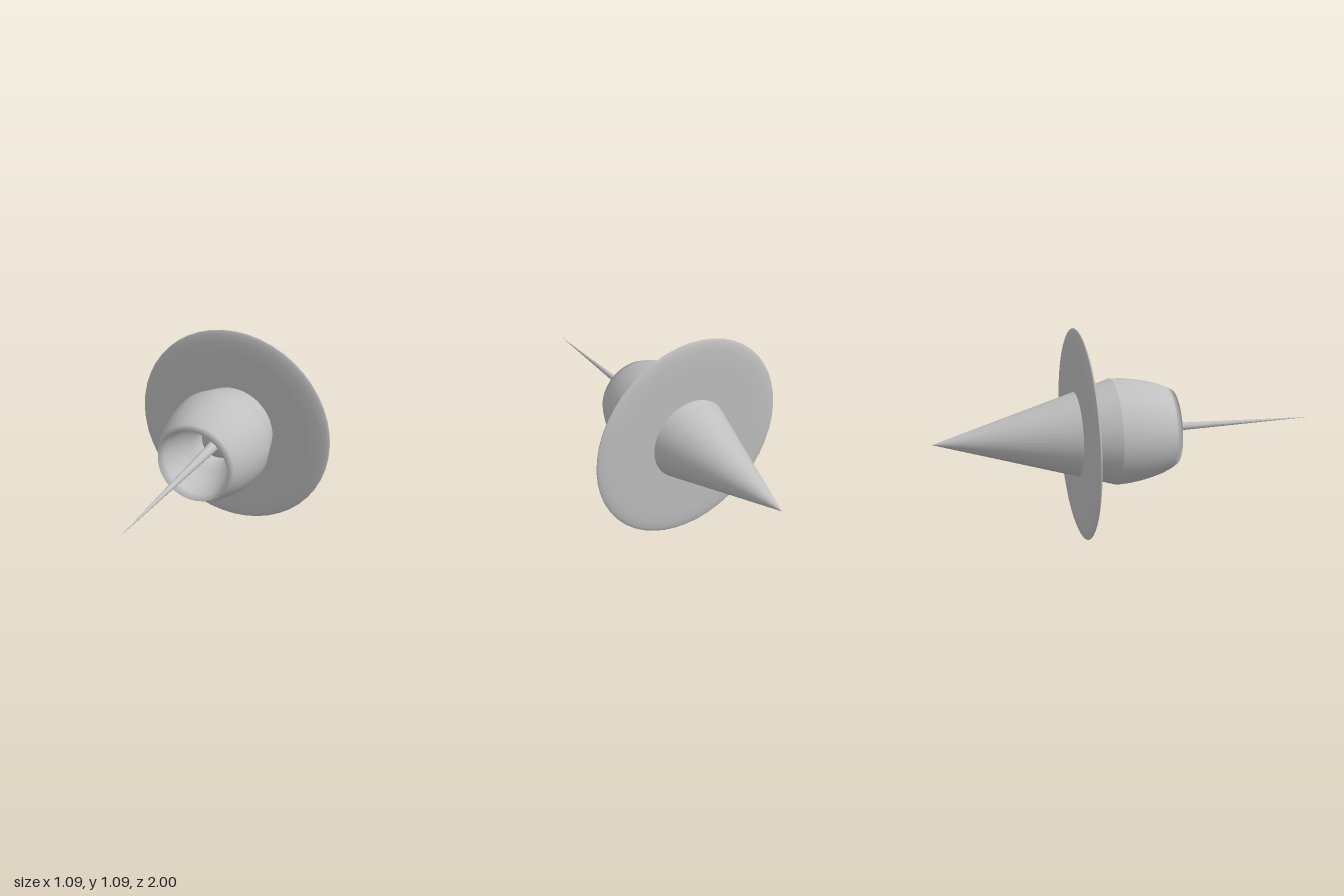
import * as THREE from 'three';

export function createModel() {
  const model = new THREE.Group();
  const grey = new THREE.MeshStandardMaterial({ color: 0xc0c0c0 });
  grey.name = 'grey';

  // Turn a [radius, z] profile around the long axis, listed from back to front on the outside
  function turned(name, profile, sides = 48) {
    const points = profile.map(([r, z]) => new THREE.Vector2(r, z));
    const geometry = new THREE.LatheGeometry(points, sides).rotateX(Math.PI / 2);
    const mesh = new THREE.Mesh(geometry, grey);
    mesh.name = name;
    mesh.position.y = 0.544;
    model.add(mesh);
  }

  // Long pointed tail
  turned('tailCone', [[0, -1], [0.275, -0.075]]);

  // Barrel shell rolling over the rim into a hollow bowl
  turned('barrel', [
    [0.275, -0.075], [0.272, -0.01], [0.264, 0.05], [0.252, 0.11],
    [0.235, 0.17], [0.215, 0.215], [0.196, 0.25],
    [0.186, 0.2], [0.174, 0.14], [0.156, 0.08], [0.134, 0.03], [0.105, -0.01], [0.105, -0.07],
  ]);

  // Plug joining the tail and the barrel behind the bowl
  turned('bowlFloor', [[0.275, -0.075], [0, -0.07]]);

  // Domed hub inside the bowl
  const dome = [];
  for (let i = 0; i <= 10; i++) {
    const a = (i / 10) * Math.PI / 2;
    dome.push([0.096 * Math.cos(a), -0.07 + 0.08 * Math.sin(a)]);
  }
  turned('hub', dome);

  // Needle running out of the hub
  turned('needle', [[0.03, -0.06], [0, 1]], 20);

  // Thin round-edged disc
  turned('disc', [
    [0, -0.267], [0.42, -0.267], [0.49, -0.264], [0.525, -0.259], [0.54, -0.253],
    [0.544, -0.25],
    [0.54, -0.247], [0.525, -0.241], [0.49, -0.236], [0.42, -0.233], [0, -0.233],
  ]);

  return model;
}
